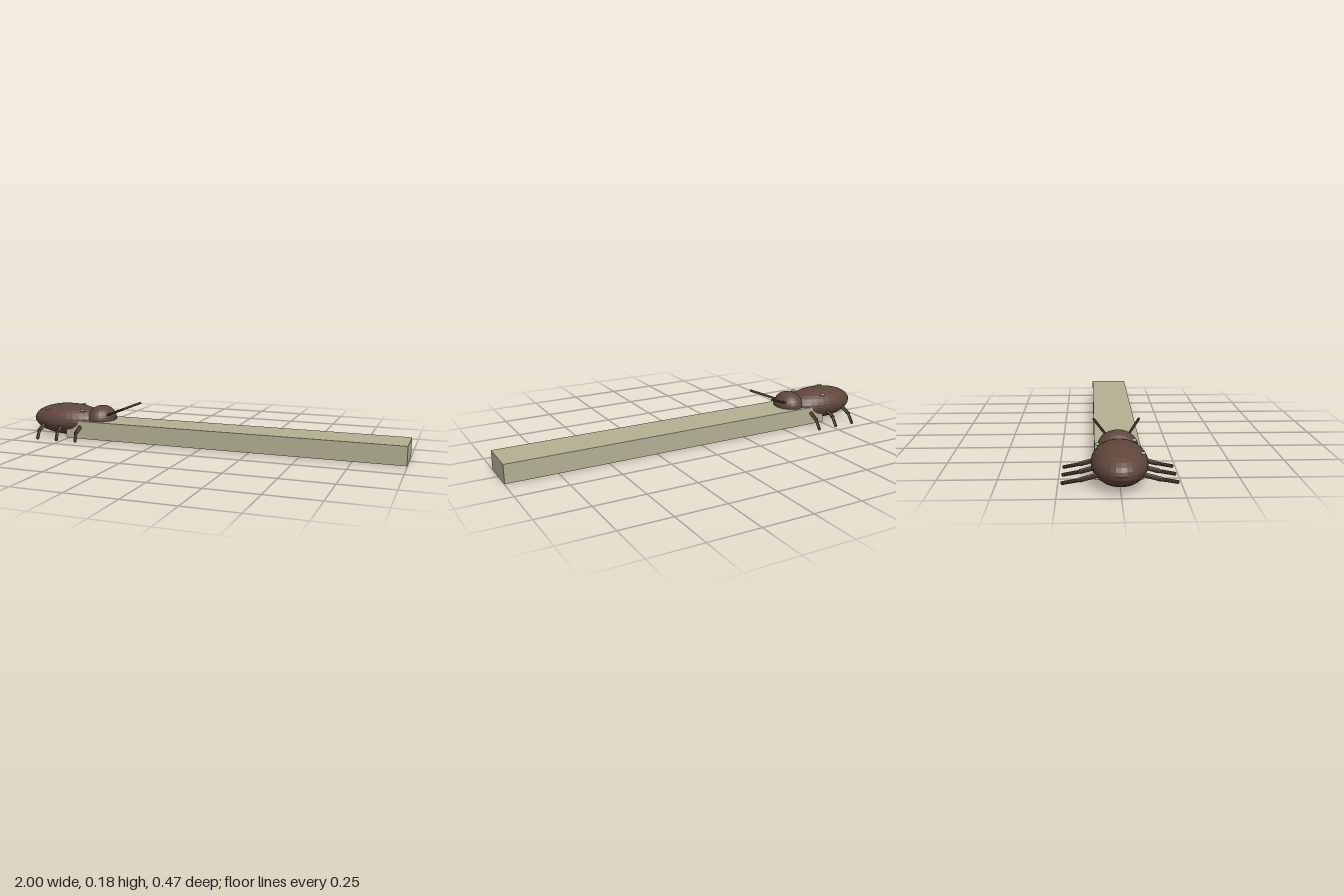
import * as THREE from 'three';

const brown = new THREE.MeshStandardMaterial({ color: 0x5f463b, flatShading: true });
brown.name = 'shellBrown';
const wood = new THREE.MeshStandardMaterial({ color: 0xb3b092 });
wood.name = 'paleWood';
const pale = new THREE.MeshStandardMaterial({ color: 0xb9bda4 });
pale.name = 'paleSpot';

// Stretched sphere
function ellipsoid(name, pos, radii, material, w = 24, h = 16) {
  const geo = new THREE.SphereGeometry(1, w, h).scale(...radii);
  const mesh = new THREE.Mesh(geo, material);
  mesh.name = name;
  mesh.position.set(...pos);
  return mesh;
}

// Straight round rod between two points
function rod(name, from, to, r0, r1) {
  const a = new THREE.Vector3(...from);
  const b = new THREE.Vector3(...to);
  const dir = b.clone().sub(a);
  const mesh = new THREE.Mesh(new THREE.CylinderGeometry(r1, r0, dir.length(), 10), brown);
  mesh.name = name;
  mesh.position.copy(a).add(b).multiplyScalar(0.5);
  mesh.quaternion.setFromUnitVectors(new THREE.Vector3(0, 1, 0), dir.normalize());
  return mesh;
}

export function createModel() {
  const model = new THREE.Group();
  model.name = 'beetleOnPlank';

  // Long plank starting under the body
  const plank = new THREE.Mesh(new THREE.BoxGeometry(1.76, 0.093, 0.2), wood);
  plank.name = 'plank';
  plank.position.set(0.118, 0.0475, 0);
  model.add(plank);

  // Body and head
  model.add(ellipsoid('body', [-0.795, 0.086, 0], [0.205, 0.083, 0.117], brown, 32, 16));
  model.add(ellipsoid('head', [-0.598, 0.1, 0], [0.073, 0.07, 0.088], brown));

  // Antennae and three pairs of jointed legs
  for (const s of [1, -1]) {
    model.add(rod('antenna', [-0.55, 0.125, s * 0.04], [-0.418, 0.177, s * 0.102], 0.006, 0.006));
    for (const x of [-0.905, -0.795, -0.685]) {
      const leg = new THREE.Group();
      leg.name = 'leg';
      const knee = [x + 0.014, 0.042, s * 0.162];
      leg.add(rod('upperLeg', [x, 0.07, s * 0.075], knee, 0.01, 0.01));
      leg.add(rod('lowerLeg', [x + 0.01, 0.045, s * 0.152], [x + 0.05, 0.018, s * 0.233], 0.008, 0.008));
      model.add(leg);
    }
  }

  // Small pale spots on the shell
  for (const p of [[-0.88, 0.146, 0.09], [-0.76, 0.151, -0.09], [-0.68, 0.146, 0.066]]) {
    model.add(ellipsoid('spot', p, [0.015, 0.006, 0.01], pale, 12, 8));
  }
  return model;
}
